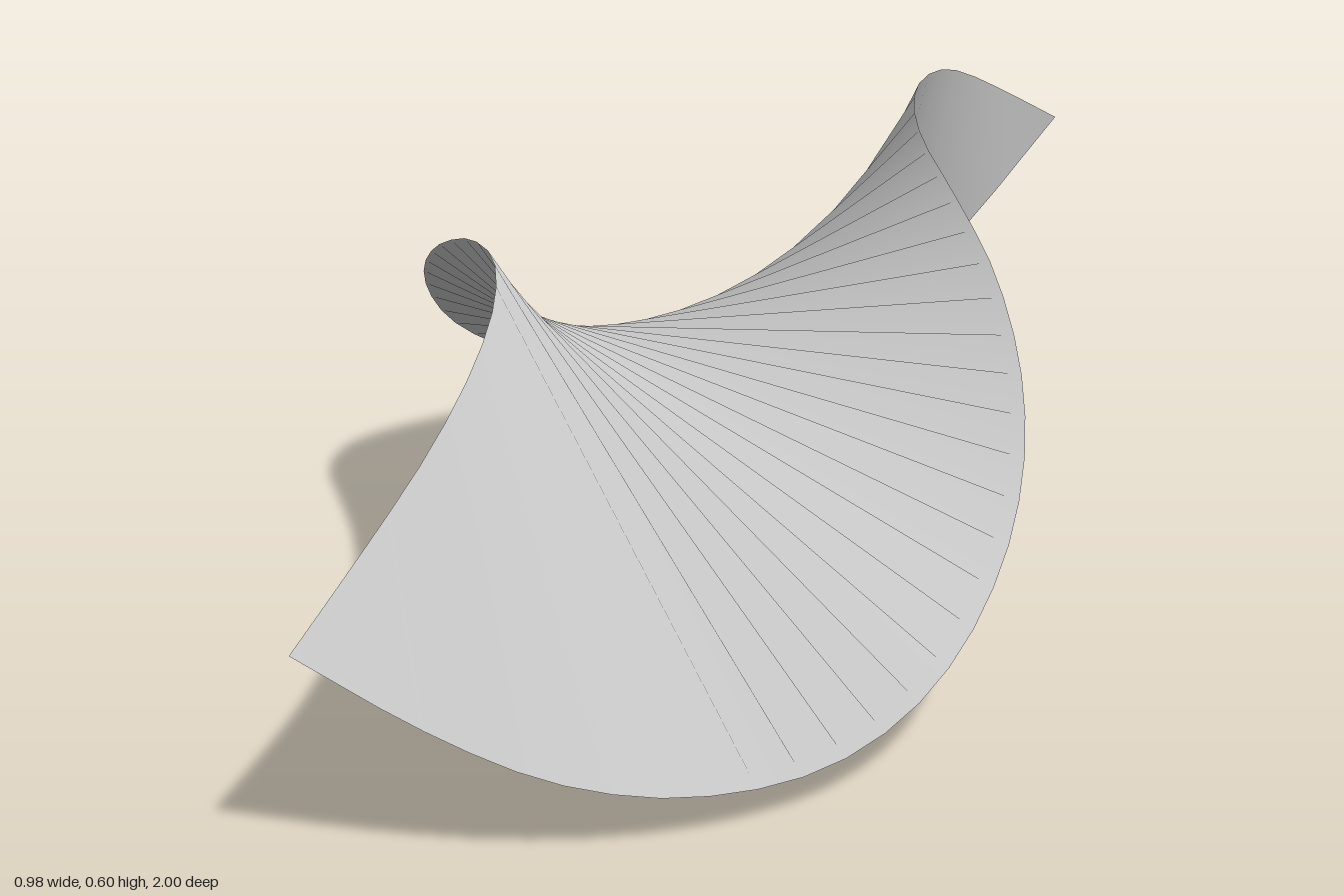
import * as THREE from 'three';

const STEPS = 40;

// Rim curve through [x, y] points evenly spaced from z = 1 to z = -1
function rim(points) {
  const last = points.length - 1;
  const path = points.map(([x, y], i) => new THREE.Vector3(x, y, 1 - (2 * i) / last));
  return new THREE.CatmullRomCurve3(path, false, 'catmullrom', 0.5);
}

const rightRim = rim([
  [0, 0.335], [0.034, 0.428], [0.051, 0.5], [0.045, 0.55], [0.02, 0.584], [-0.025, 0.6], [-0.093, 0.597],
  [-0.19, 0.565], [-0.298, 0.5], [-0.385, 0.42], [-0.445, 0.335], [-0.479, 0.252], [-0.49, 0.182],
  [-0.483, 0.122], [-0.46, 0.07], [-0.42, 0.028], [-0.362, 0.003], [-0.29, 0.008], [-0.205, 0.056],
  [-0.108, 0.162], [0, 0.335],
]);

const leftRim = rim([
  [0, 0.335], [0.108, 0.224], [0.205, 0.138], [0.29, 0.088], [0.362, 0.066], [0.42, 0.064], [0.46, 0.082],
  [0.483, 0.117], [0.49, 0.17], [0.479, 0.235], [0.445, 0.304], [0.385, 0.373], [0.298, 0.44],
  [0.19, 0.489], [0.093, 0.511], [0.025, 0.515], [-0.02, 0.511], [-0.045, 0.494], [-0.058, 0.46],
  [-0.045, 0.405], [0, 0.335],
]);

// Shared normal of one straight line across the ribbon
function lineNormal(u) {
  const t = THREE.MathUtils.clamp(u, 0.002, 0.998);
  const across = leftRim.getPointAt(t).sub(rightRim.getPointAt(t));
  const along = leftRim.getTangentAt(t).add(rightRim.getTangentAt(t));
  return across.cross(along).normalize().toArray();
}

export function createModel() {
  const group = new THREE.Group();
  group.name = 'twistedRibbon';

  const grey = new THREE.MeshStandardMaterial({ color: 0xcccccc, side: THREE.DoubleSide });
  grey.name = 'light grey';

  // Ruled strip: lines join the two rims at equal fractions of their length
  const positions = [];
  const normals = [];
  const index = [];
  for (let i = 0; i <= STEPS; i++) {
    const u = i / STEPS;
    const normal = lineNormal(u);
    positions.push(...rightRim.getPointAt(u).toArray(), ...leftRim.getPointAt(u).toArray());
    normals.push(...normal, ...normal);
    if (i < STEPS) {
      const a = 2 * i;
      index.push(a, a + 1, a + 3, a, a + 3, a + 2);
    }
  }
  const geometry = new THREE.BufferGeometry();
  geometry.setAttribute('position', new THREE.Float32BufferAttribute(positions, 3));
  geometry.setAttribute('normal', new THREE.Float32BufferAttribute(normals, 3));
  geometry.setIndex(index);

  const ribbon = new THREE.Mesh(geometry, grey);
  ribbon.name = 'ribbonSurface';
  group.add(ribbon);
  return group;
}
